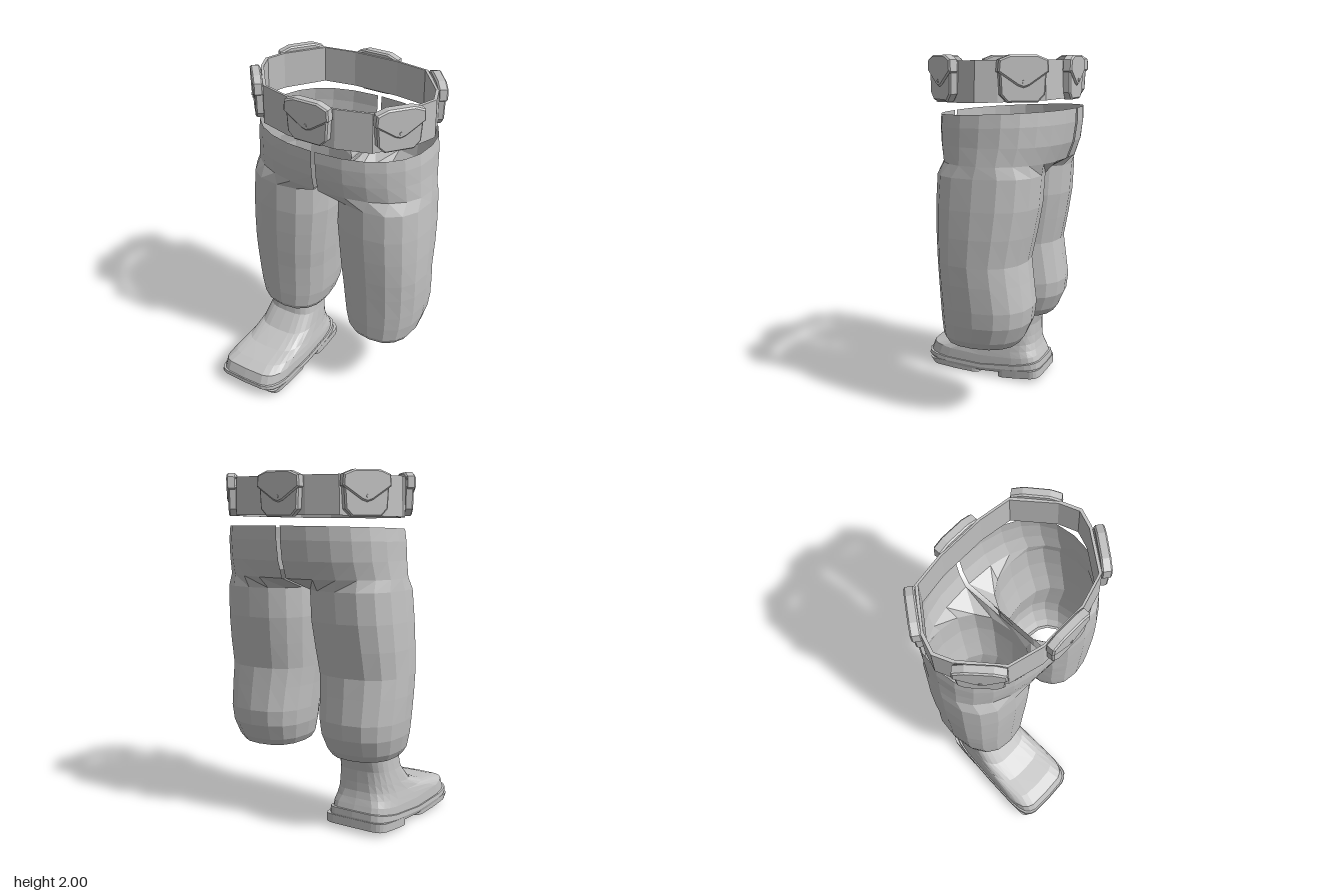
import * as THREE from 'three';

const cloth = new THREE.MeshStandardMaterial({ color: 0xc2c2c2, flatShading: true, side: THREE.DoubleSide });
cloth.name = 'plain grey';

// Skin closed rings of [x, y, z], listed top to bottom, each running front -> +x -> back
function loft(rings, { flip = false, skip = () => false, capTop = false, capBottom = false } = {}) {
  const n = rings[0].length, pos = rings.flat(2), index = [];
  const tri = (a, b, c) => (flip ? index.push(a, c, b) : index.push(a, b, c));
  for (let j = 0; j < rings.length - 1; j++) {
    for (let i = 0; i < n; i++) {
      if (skip(j, i)) continue;
      const k = (i + 1) % n, a = j * n + i, b = a + n, c = (j + 1) * n + k, d = j * n + k;
      tri(a, b, c);
      tri(a, c, d);
    }
  }
  const cap = (j, down) => {
    const centre = pos.length / 3;
    pos.push(...[0, 1, 2].map((q) => rings[j].reduce((s, p) => s + p[q], 0) / n));
    for (let i = 0; i < n; i++) {
      const a = j * n + i, b = j * n + (i + 1) % n;
      if (down) tri(centre, b, a); else tri(centre, a, b);
    }
  };
  if (capTop) cap(0, false);
  if (capBottom) cap(rings.length - 1, true);
  const g = new THREE.BufferGeometry();
  g.setAttribute('position', new THREE.Float32BufferAttribute(pos, 3));
  g.setIndex(index);
  g.computeVertexNormals();
  return g;
}

function add(parent, name, geometry) {
  const mesh = new THREE.Mesh(geometry, cloth);
  mesh.name = name;
  parent.add(mesh);
  return mesh;
}

const spow = (v, e) => Math.sign(v) * Math.abs(v) ** (2 / e);

// Trouser leg: half-pelvis rings open at the middle, then oval rings down to the cuff
const OUTER = 12, INNER = 4;
function trouserLeg(side) {
  const rings = [];
  // y front, y back, outer x, front z, back z
  const pelvis = [
    [1.685, 1.715, 0.515, 0.215, -0.515],
    [1.62, 1.64, 0.525, 0.217, -0.515],
    [1.53, 1.53, 0.53, 0.21, -0.5],
    [1.435, 1.435, 0.54, 0.19, -0.465],
  ];
  for (const [yf, yb, rx, zf, zb] of pelvis) {
    const ring = [], c = (zf + zb) / 2, r = (zf - zb) / 2;
    for (let i = 0; i < OUTER + INNER; i++) {
      const a = (Math.PI * i) / OUTER;
      const onOuter = i <= OUTER;
      const x = onOuter ? 0.012 + (rx - 0.012) * spow(Math.sin(a), 2.3) : 0.012;
      const z = onOuter ? c + r * spow(Math.cos(a), 2.3) : c - r + (2 * r * (i - OUTER)) / INNER;
      ring.push([side * x, yb + ((yf - yb) * (z - zb)) / (zf - zb), z]);
    }
    rings.push(ring);
  }
  // y, inner x, outer x, front z, back z
  const leg = [
    [1.37, 0.015, 0.548, 0.163, -0.41],
    [1.2, 0.015, 0.56, 0.17, -0.4],
    [1.05, 0.028, 0.566, 0.165, -0.375],
    [0.9, 0.042, 0.567, 0.157, -0.345],
    [0.79, 0.053, 0.565, 0.15, -0.36],
    [0.65, 0.064, 0.558, 0.142, -0.38],
    [0.56, 0.075, 0.548, 0.137, -0.37],
    [0.47, 0.1, 0.525, 0.13, -0.33],
    [0.43, 0.125, 0.5, 0.105, -0.3],
    [0.435, 0.14, 0.48, 0.06, -0.28],
  ];
  for (const [y, xi, xo, zf, zb] of leg) {
    const ring = [], cx = (xi + xo) / 2, rx = (xo - xi) / 2, cz = (zf + zb) / 2, rz = (zf - zb) / 2;
    for (let i = 0; i < OUTER + INNER; i++) {
      const deg = i <= OUTER ? -45 + (270 * i) / OUTER : 225 + (90 * (i - OUTER)) / INNER;
      const a = (deg * Math.PI) / 180;
      ring.push([side * (cx + rx * spow(Math.sin(a), 2.4)), y, cz + rz * spow(Math.cos(a), 2.4)]);
    }
    rings.push(ring);
  }
  return loft(rings, { flip: side < 0, skip: (j, i) => j < pelvis.length - 1 && i >= OUTER });
}

// Belt: thin band following a polygon
function belt() {
  const half = [[0.14, 0.228], [0.33, 0.175], [0.49, -0.03], [0.53, -0.13], [0.49, -0.24], [0.33, -0.44], [0.14, -0.468]];
  const outline = [...half, ...half.map(([x, z]) => [-x, z]).reverse()];
  const ring = (s, top) => outline.map(([x, z]) => {
    const back = (0.23 - z) / 0.7;
    return [x * s, top ? 1.967 + 0.008 * back : 1.748 + 0.022 * back, -0.12 + (z + 0.12) * s];
  });
  return loft([ring(0.965, true), ring(1, true), ring(1.01, false), ring(0.975, false), ring(0.965, true)]);
}

// Pouch: bevelled body, pointed flap and small stud
function pouch(name, x, z, nx, nz) {
  const group = new THREE.Group();
  group.name = name;
  const plate = (part, pts, z0, depth) => {
    const bevel = 0.008;
    const shape = new THREE.Shape(pts.map((p) => new THREE.Vector2(...p)));
    const g = new THREE.ExtrudeGeometry(shape, {
      depth: depth - 2 * bevel, bevelThickness: bevel, bevelSize: bevel, bevelOffset: -bevel, bevelSegments: 1,
    });
    add(group, part, g.translate(0, 0, z0 + bevel));
  };
  plate('pouchBody', [[-0.08, -0.118], [0.08, -0.118], [0.118, -0.08], [0.128, 0.09], [-0.128, 0.09], [-0.118, -0.08]], -0.03, 0.05);
  plate('pouchFlap', [[0, -0.045], [0.03, -0.035], [0.135, 0.035], [0.13, 0.095], [0.07, 0.118],
    [-0.07, 0.118], [-0.13, 0.095], [-0.135, 0.035], [-0.03, -0.035]], -0.025, 0.054);
  const stud = new THREE.CylinderGeometry(0.009, 0.009, 0.006, 8).rotateX(Math.PI / 2);
  add(group, 'pouchStud', stud.translate(0, -0.015, 0.03));
  group.position.set(x, 1.88, z);
  group.rotation.y = Math.atan2(nx, nz);
  return group;
}

// Boot cross-section: front z and y, back z and y, half width, squareness, sag in the middle
function bootRing([zf, yf, zb, yb, hw, e, sag]) {
  const ring = [], n = 24;
  for (let i = 0; i < n; i++) {
    const a = (2 * Math.PI * i) / n, u = spow(Math.cos(a), e);
    const z = (zf + zb) / 2 + (u * (zf - zb)) / 2;
    const x = -0.325 - 0.06 * z + hw * (0.93 + 0.14 * z) * spow(Math.sin(a), e);
    ring.push([x, yb + ((yf - yb) * (u + 1)) / 2 - sag * (1 - u * u), z]);
  }
  return ring;
}

function boot() {
  const group = new THREE.Group();
  group.name = 'rightBoot';
  add(group, 'bootUpper', loft([
    [0.04, 0.5, -0.24, 0.5, 0.165, 2.8, 0],
    [0.045, 0.43, -0.232, 0.43, 0.167, 2.8, 0],
    [0.06, 0.345, -0.212, 0.35, 0.172, 3, 0],
    [0.15, 0.247, -0.212, 0.28, 0.183, 3.2, 0],
    [0.28, 0.2, -0.215, 0.23, 0.192, 3.6, 0.01],
    [0.41, 0.187, -0.225, 0.19, 0.2, 4.2, 0.02],
    [0.485, 0.165, -0.238, 0.155, 0.207, 5, 0.03],
    [0.51, 0.105, -0.25, 0.12, 0.21, 5, 0.04],
  ].map(bootRing)));
  add(group, 'bootSole', loft([
    [0.518, 0.105, -0.262, 0.125, 0.217, 5.5, 0.042],
    [0.52, 0.08, -0.265, 0.09, 0.219, 5.5, 0.035],
    [0.475, 0.04, -0.262, 0.055, 0.212, 5.5, 0.015],
  ].map(bootRing), { capTop: true, capBottom: true }));
  add(group, 'bootTread', loft([
    [0.495, 0.06, 0.13, 0.05, 0.213, 8, 0],
    [0.47, 0.028, 0.13, 0.008, 0.21, 8, 0.004],
  ].map(bootRing), { capTop: true, capBottom: true }));
  add(group, 'bootHeel', loft([
    [0.02, 0.05, -0.266, 0.08, 0.218, 6, 0],
    [0.02, 0, -0.268, 0.03, 0.216, 6, 0],
  ].map(bootRing), { capTop: true, capBottom: true }));
  return group;
}

export function createModel() {
  const model = new THREE.Group();
  model.name = 'trousersWithBelt';
  add(model, 'leftTrouserLeg', trouserLeg(1));
  add(model, 'rightTrouserLeg', trouserLeg(-1));
  add(model, 'belt', belt());
  model.add(pouch('frontPouch', 0, 0.252, 0, 1), pouch('backPouch', 0, -0.49, 0, -1));
  for (const [side, label] of [[1, 'left'], [-1, 'right']]) {
    model.add(pouch(label + 'FrontPouch', side * 0.433, 0.09, side * 0.77, 0.64));
    model.add(pouch(label + 'BackPouch', side * 0.433, -0.35, side * 0.8, -0.6));
  }
  model.add(boot());
  return model;
}
